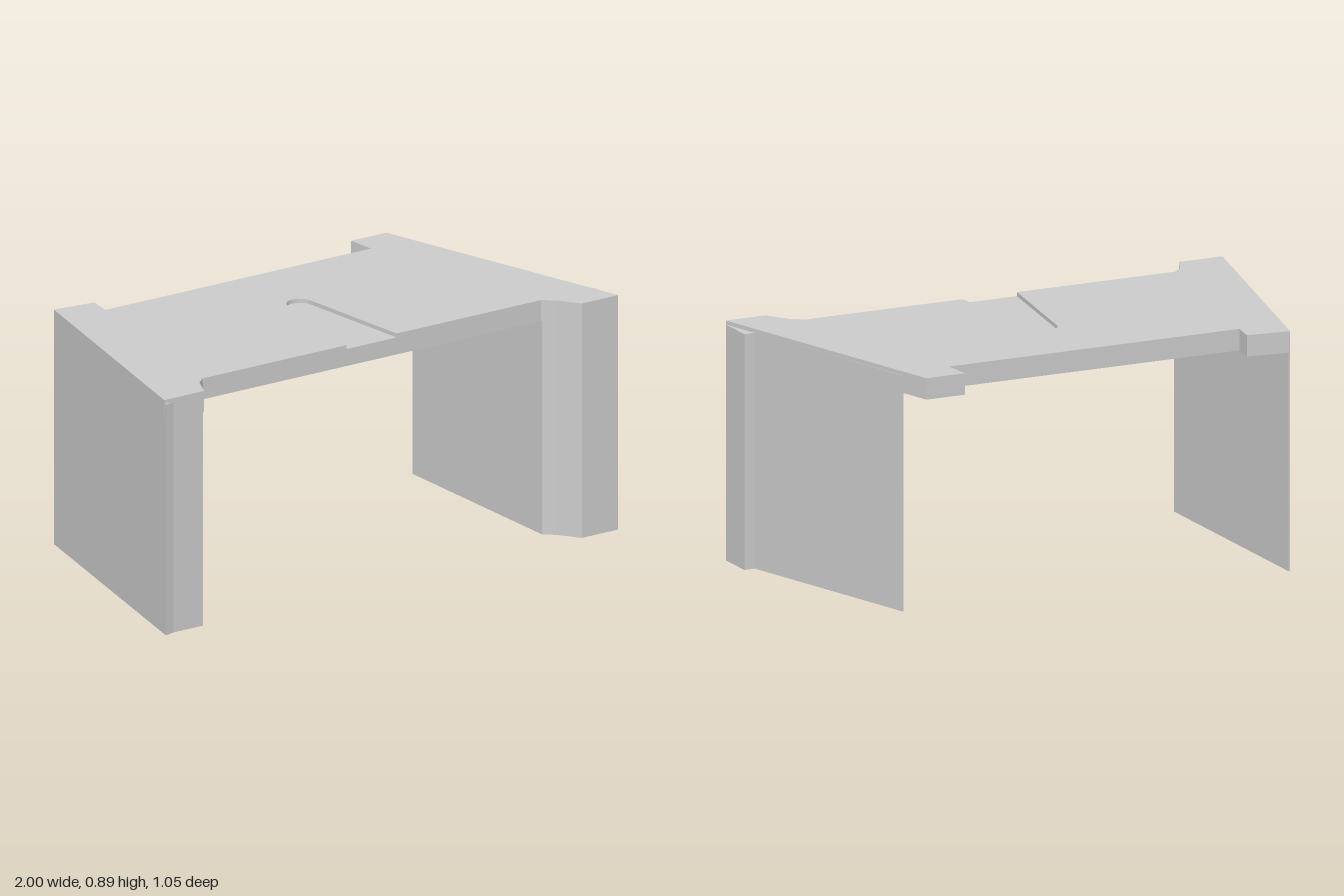
import * as THREE from 'three';

const material = new THREE.MeshStandardMaterial({ color: 0xcccccc, flatShading: true });

// Extrudes a plan outline of [x, z] points from height y0 up to y1.
function prism(name, plan, y0, y1) {
  const shape = new THREE.Shape(plan.map(([x, z]) => new THREE.Vector2(x, -z)));
  const geometry = new THREE.ExtrudeGeometry(shape, { depth: y1 - y0, bevelEnabled: false });
  geometry.rotateX(-Math.PI / 2).translate(0, y0, 0);
  const mesh = new THREE.Mesh(geometry, material);
  mesh.name = name;
  return mesh;
}

export function createModel() {
  const model = new THREE.Group();
  model.name = 'table';
  const underside = 0.815, grooveFloor = 0.88, top = 0.895;

  // Tabletop outline, split where the groove opens on the front edge
  const frontLeftHalf = [[0.74, 0.4], [0.785, 0.435], [0.84, 0.515], [1, 0.515]];
  const back = [[0.71, -0.525], [0.555, -0.525], [0.565, -0.415],
    [-0.605, -0.415], [-0.59, -0.505], [-0.755, -0.525]];
  const frontRightHalf = [[-1, 0.515], [-0.825, 0.515], [-0.785, 0.43], [-0.75, 0.4]];
  const outline = [...frontLeftHalf, ...back, ...frontRightHalf];

  // Tapered groove with a round end
  const groove = [[-0.115, 0.4]];
  for (let i = 0; i <= 12; i++) {
    const a = Math.PI * (1 - i / 12);
    groove.push([0.01 + 0.05 * Math.cos(a), -0.07 - 0.05 * Math.sin(a)]);
  }
  groove.push([0.105, 0.4]);

  model.add(prism('tabletopBase', outline, underside, grooveFloor));
  model.add(prism('tabletopSurface', [...outline, ...groove], grooveFloor, top));

  // Wedge legs: flat inner face, slanted outer face, chamfered front
  model.add(prism('rightLeg', [[-1, 0.525], [-0.96, 0.515], [-0.83, 0.515], [-0.785, 0.43],
    [-0.748, 0.4], [-0.748, -0.525], [-0.755, -0.525]], 0, grooveFloor));
  // The left leg has a squared post at its front outer corner
  model.add(prism('leftLeg', [[0.745, 0.4], [0.785, 0.435], [0.84, 0.515], [1, 0.515],
    [1, 0.365], [0.958, 0.365], [0.745, -0.41]], 0, grooveFloor));

  return model;
}
